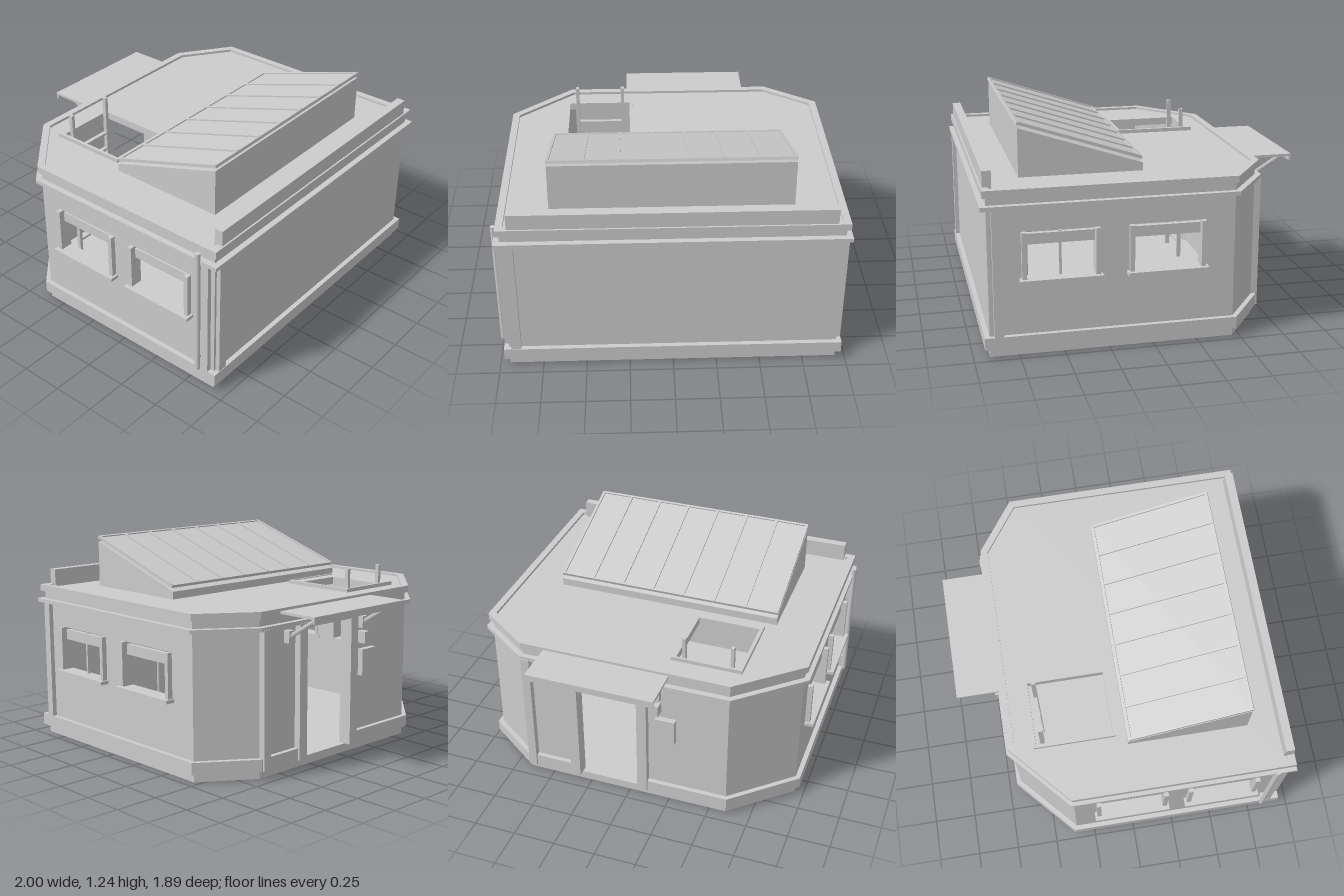
import * as THREE from 'three';

const gray = new THREE.MeshStandardMaterial({ color: 0xcccccc });
gray.name = 'light gray';

// Footprint as [x, z]; the first and last points are the door edges
const foot = [[-0.06, -0.67], [-0.6, -0.67], [-0.945, -0.36], [-0.945, 0.91],
  [0.945, 0.91], [0.945, -0.46], [0.65, -0.67], [0.31, -0.67]];
const WALL = 0.04, TOP = 0.91;

function add(parent, name, geometry, x = 0, y = 0, z = 0) {
  const mesh = new THREE.Mesh(geometry, gray);
  mesh.name = name;
  mesh.position.set(x, y, z);
  parent.add(mesh);
  return mesh;
}

// Box given by its limits on each axis
function box(parent, name, [x0, x1], [y0, y1], [z0, z1]) {
  return add(parent, name, new THREE.BoxGeometry(Math.abs(x1 - x0), y1 - y0, Math.abs(z1 - z0)),
    (x0 + x1) / 2, (y0 + y1) / 2, (z0 + z1) / 2);
}

// Round or square bar between two points
function bar(parent, name, a, b, radius, sides = 8) {
  const p = new THREE.Vector3(...a), q = new THREE.Vector3(...b);
  const mesh = add(parent, name, new THREE.CylinderGeometry(radius, radius, p.distanceTo(q), sides));
  mesh.position.copy(p).add(q).multiplyScalar(0.5);
  mesh.quaternion.setFromUnitVectors(new THREE.Vector3(0, 1, 0), q.sub(p).normalize());
  return mesh;
}

const normal = ([ax, az], [bx, bz]) => {
  const l = Math.hypot(bx - ax, bz - az);
  return [-(bz - az) / l, (bx - ax) / l];
};

// Footprint moved outward by d with mitred corners
function offset(d) {
  return foot.map((p, i) => {
    const n = normal(foot.at(i - 1), p), m = normal(p, foot[(i + 1) % foot.length]);
    const k = d / (1 + n[0] * m[0] + n[1] * m[1]);
    return [p[0] + (n[0] + m[0]) * k, p[1] + (n[1] + m[1]) * k];
  });
}

const toVectors = points => points.map(([x, z]) => new THREE.Vector2(x, -z));

// Horizontal slab from y0 to y1, with an optional hole
function slab(parent, name, points, y0, y1, hole) {
  const shape = new THREE.Shape(toVectors(points));
  if (hole) shape.holes.push(new THREE.Path(toVectors(hole)));
  const geometry = new THREE.ExtrudeGeometry(shape, { depth: y1 - y0, bevelEnabled: false });
  geometry.rotateX(-Math.PI / 2);
  return add(parent, name, geometry, 0, y0, 0);
}

const rect = (x0, x1, y0, y1) => [[x0, y0], [x1, y0], [x1, y1], [x0, y1]];

// Upright wall from a to b; holes are [u0, u1, y0, y1]
function wall(parent, name, a, b, holes = []) {
  const n = normal(a, b), length = Math.hypot(b[0] - a[0], b[1] - a[1]);
  const outline = r => rect(...r).map(([u, y]) => new THREE.Vector2(u, y));
  const shape = new THREE.Shape(outline([0, length, 0.02, TOP]));
  holes.forEach(h => shape.holes.push(new THREE.Path(outline(h))));
  const mesh = add(parent, name, new THREE.ExtrudeGeometry(shape, { depth: WALL, bevelEnabled: false }),
    a[0] - n[0] * WALL, 0, a[1] - n[1] * WALL);
  mesh.rotation.y = Math.atan2(a[1] - b[1], b[0] - a[0]);
}

// Frame, sill and rolled blind of a side window
function sideWindow(parent, side, z, mullion) {
  const g = new THREE.Group();
  g.name = 'window';
  parent.add(g);
  const xs = (a, b) => [side * a, side * b];
  box(g, 'sill', xs(0.9, 1), [0.42, 0.44], [z - 0.227, z + 0.227]);
  for (const s of [-1, 1]) {
    box(g, 'jamb', xs(0.9, 0.975), [0.44, 0.7], [z + s * 0.188, z + s * 0.214]);
  }
  box(g, 'blind', xs(0.91, 0.94), [0.625, 0.685], [z - 0.19, z + 0.19]);
  if (mullion) box(g, 'mullion', xs(0.915, 0.93), [0.44, 0.69], [z - 0.007, z + 0.007]);
}

export function createModel() {
  const model = new THREE.Group();
  model.name = 'hut';

  // Shell
  slab(model, 'floor', foot, 0, 0.05);
  const hole = z => [z - 0.19, z + 0.19, 0.44, 0.7];
  const windows = { left: [0.515, -0.075], right: [0.535, -0.015] };
  wall(model, 'rightChamferWall', foot[1], foot[2]);
  wall(model, 'rightWall', foot[2], foot[3], windows.right.map(z => hole(z + 0.36)));
  wall(model, 'frontWall', foot[3], foot[4]);
  wall(model, 'leftWall', foot[4], foot[5], windows.left.map(z => hole(0.91 - z)));
  wall(model, 'leftChamferWall', foot[5], foot[6]);
  wall(model, 'backWall', foot[6], foot[1], [[0.34, 0.71, 0.05, 0.82]]);

  // Bands around the walls, the lowest one open at the door
  slab(model, 'baseBand', [...offset(0.028), ...offset(-0.01).reverse()], 0.05, 0.12);
  slab(model, 'lowerCornice', offset(0.034), 0.832, 0.855, offset(-0.01));
  slab(model, 'upperCornice', offset(0.02), 0.9, 0.94, offset(-0.022));

  // Roof with an open hatch
  const hatch = rect(-0.61, -0.23, -0.525, -0.075);
  slab(model, 'roof', offset(-0.005), 0.88, 0.925, hatch);
  slab(model, 'hatchFrame', rect(-0.63, -0.21, -0.54, -0.06), 0.9, 0.947, hatch);
  box(model, 'frontParapet', [-0.9, 0.895], [0.92, 1.03], [0.87, 0.92]);

  // Ladder through the hatch
  const ladder = new THREE.Group();
  ladder.name = 'ladder';
  model.add(ladder);
  for (const x of [-0.56, -0.275]) box(ladder, 'ladderRail', [x - 0.01, x + 0.01], [0.05, 1.055], [-0.5, -0.475]);
  for (let y = 0.14; y < 0.9; y += 0.11) box(ladder, 'rung', [-0.56, -0.275], [y, y + 0.015], [-0.505, -0.48]);

  // Sloping roof light: wedge with a raised pane and bars
  const side = new THREE.Shape([[0, 0.92], [0.7, 0.92], [0.7, 1.2], [0, 0.97]].map(p => new THREE.Vector2(...p)));
  const wedge = new THREE.ExtrudeGeometry(side, { depth: 1.37, bevelEnabled: false });
  wedge.rotateY(-Math.PI / 2);
  add(model, 'roofLightBase', wedge, 0.685, 0, 0);
  const pane = new THREE.Group();
  pane.name = 'roofLight';
  pane.position.set(0, 1.112, 0.355);
  pane.rotation.x = -Math.atan2(0.23, 0.7);
  model.add(pane);
  box(pane, 'glass', [-0.68, 0.68], [-0.003, 0.003], [-0.36, 0.36]);
  for (let i = 0; i < 8; i++) {
    const x = -0.679 + i * 0.194;
    box(pane, 'glazingBar', [x - 0.008, x + 0.008], [-0.006, 0.012], [-0.36, 0.36]);
  }
  for (const z of [-0.36, 0.36]) box(pane, 'paneRail', [-0.687, 0.687], [-0.007, 0.01], [z - 0.007, z + 0.007]);

  // Windows
  windows.left.forEach((z, i) => sideWindow(model, 1, z, i === 0));
  windows.right.forEach(z => sideWindow(model, -1, z, false));

  // Corner strips
  box(model, 'frontStrip', [-0.93, -0.872], [0.06, 0.84], [0.9, 0.935]);
  for (const s of [-1, 1]) box(model, 'sideStrip', [s * 0.93, s * 0.972], [0.06, 0.84], [0.835, 0.885]);

  // Doorway posts and canopy
  for (const [x0, x1] of [[-0.12, -0.06], [0.31, 0.37], [0.6, 0.65]]) {
    box(model, 'doorPost', [x0, x1], [0.05, 0.84], [-0.71, -0.64]);
  }
  box(model, 'doorLintel', [-0.12, 0.37], [0.81, 0.84], [-0.705, -0.64]);
  const canopy = new THREE.Group();
  canopy.name = 'canopy';
  model.add(canopy);
  box(canopy, 'canopyTop', [-0.25, 0.51], [0.91, 0.925], [-0.94, -0.66]);
  box(canopy, 'canopyLip', [-0.25, 0.51], [0.885, 0.925], [-0.942, -0.93]);
  for (const x of [-0.18, 0.44]) {
    bar(canopy, 'canopyBrace', [x, 0.905, -0.91], [x, 0.77, -0.69], 0.013, 4);
    box(canopy, 'braceFoot', [x - 0.02, x + 0.02], [0.74, 0.81], [-0.71, -0.66]);
  }
  box(model, 'wallLamp', [-0.2, -0.16], [0.65, 0.72], [-0.73, -0.66]);
  box(model, 'meterBox', [-0.29, -0.17], [0.45, 0.61], [-0.705, -0.66]);

  // Rain pipe
  bar(model, 'rainPipe', [-0.983, 0.12, 0.825], [-0.983, 0.9, 0.825], 0.015, 12);
  for (const y of [0.2, 0.8]) box(model, 'pipeClip', [-0.985, -0.94], [y, y + 0.02], [0.81, 0.84]);

  // Stool inside
  add(model, 'stoolSeat', new THREE.CylinderGeometry(0.032, 0.032, 0.015, 16), 0.3, 0.497, 0.615);
  bar(model, 'stoolLeg', [0.3, 0.05, 0.615], [0.3, 0.49, 0.615], 0.01);
  return model;
}
